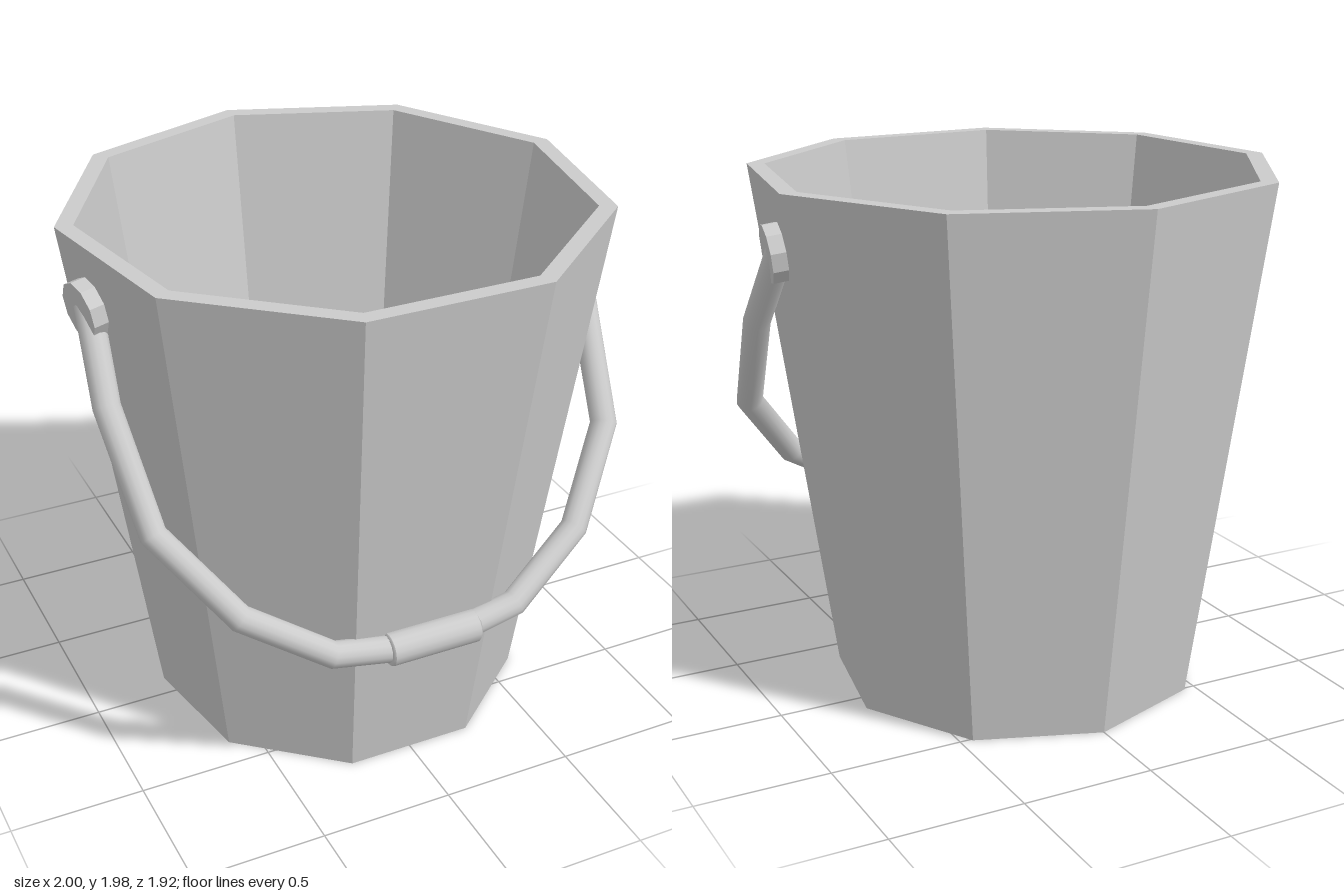
import * as THREE from 'three';

const faceted = new THREE.MeshStandardMaterial({ color: 0xcccccc, flatShading: true });
const smooth = new THREE.MeshStandardMaterial({ color: 0xcccccc, side: THREE.DoubleSide });

// Straight segments through points, with the bisecting direction at each bend
class Polyline extends THREE.Curve {
  constructor(points) {
    super();
    this.points = points;
  }
  getPoint(t, target = new THREE.Vector3()) {
    const f = t * (this.points.length - 1);
    const i = Math.min(Math.floor(f + 1e-6), this.points.length - 2);
    return target.lerpVectors(this.points[i], this.points[i + 1], f - i);
  }
  getPointAt(u, target) {
    return this.getPoint(u, target);
  }
  getTangentAt(u, target = new THREE.Vector3()) {
    const p = this.points, last = p.length - 1;
    const i = Math.round(u * last);
    target.set(0, 0, 0);
    if (i > 0) target.add(p[i].clone().sub(p[i - 1]).normalize());
    if (i < last) target.add(p[i + 1].clone().sub(p[i]).normalize());
    return target.normalize();
  }
}

function add(parent, name, geometry, material) {
  const mesh = new THREE.Mesh(geometry, material);
  mesh.name = name;
  parent.add(mesh);
  return mesh;
}

export function createModel() {
  const model = new THREE.Group();
  model.name = 'bucket';

  // Nine-sided tapered shell with wall thickness, one corner at the back
  const profile = [[0, 0], [0.705, 0], [0.99, 1.98], [0.924, 1.98], [0.655, 0.1], [0, 0.1]]
    .map(([r, y]) => new THREE.Vector2(r, y));
  const shell = add(model, 'shell', new THREE.LatheGeometry(profile, 9, Math.PI), faceted);
  shell.position.z = 0.03;

  // Round pivot plates lying on the sloping side walls
  const up = new THREE.Vector3(0, 1, 0);
  for (const side of [1, -1]) {
    const plate = add(model, side > 0 ? 'leftPivot' : 'rightPivot',
      new THREE.CylinderGeometry(0.108, 0.108, 0.08, 10), faceted);
    const normal = new THREE.Vector3(side * 0.976, -0.134, 0.172).normalize();
    plate.quaternion.setFromUnitVectors(up, normal);
    plate.position.set(side * 0.927, 1.745, 0.035);
  }

  // Bent wire handle hanging down in front
  const half = [
    [0.925, 1.75, 0.02], [0.948, 1.46, 0.225], [0.9, 1.085, 0.49],
    [0.67, 0.795, 0.685], [0.365, 0.61, 0.785], [0.13, 0.573, 0.8],
  ].map(p => new THREE.Vector3(...p));
  const mirrored = half.map(p => new THREE.Vector3(-p.x, p.y, p.z)).reverse();
  const path = new Polyline([...half, ...mirrored]);
  add(model, 'handle', new THREE.TubeGeometry(path, path.points.length - 1, 0.05, 14), smooth);

  // Grip sleeve with slightly bevelled ends
  const gripProfile = [[0, -0.18], [0.053, -0.18], [0.061, -0.172], [0.061, -0.172],
    [0.061, 0.172], [0.061, 0.172], [0.053, 0.18], [0, 0.18]]
    .map(([r, y]) => new THREE.Vector2(r, y));
  const grip = add(model, 'grip', new THREE.LatheGeometry(gripProfile, 16), smooth);
  grip.rotation.z = -Math.PI / 2;
  grip.position.set(0.02, 0.573, 0.8);

  return model;
}
